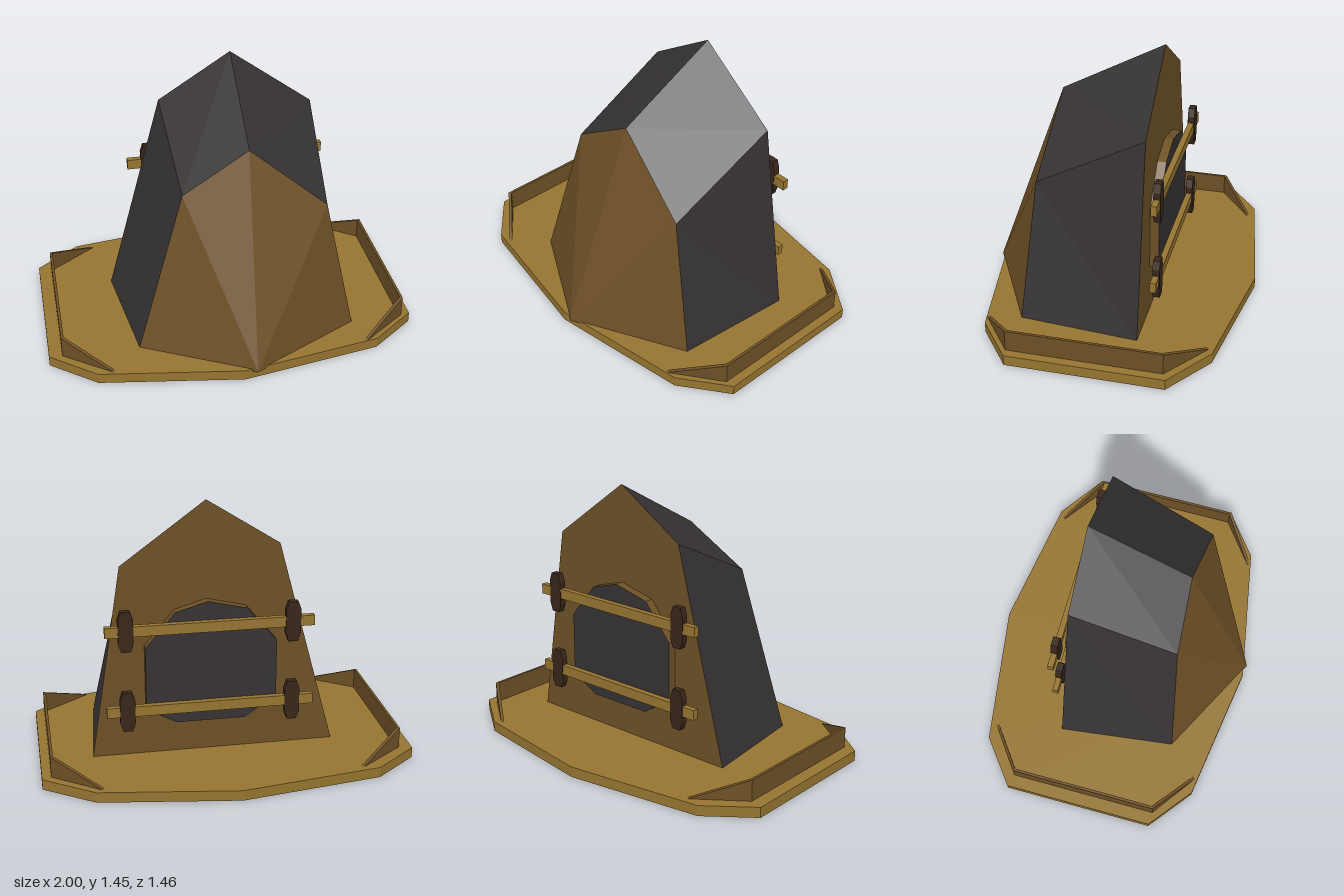
import * as THREE from 'three';

const mat = (color) => new THREE.MeshStandardMaterial({ color, flatShading: true, side: THREE.DoubleSide });
const brass = mat(0x957430);
const bronze = mat(0x6d5026);
const slate = mat(0x363233);
const darkWood = mat(0x38261a);

// Flat-shaded geometry from polygons, each a convex loop of [x, y, z] corners
function facets(polygons) {
  const pos = [];
  for (const p of polygons)
    for (let i = 1; i < p.length - 1; i++) pos.push(...p[0], ...p[i], ...p[i + 1]);
  const g = new THREE.BufferGeometry();
  g.setAttribute('position', new THREE.Float32BufferAttribute(pos, 3));
  g.computeVertexNormals();
  return g;
}

function slab(points, depth) {
  const shape = new THREE.Shape(points.map(([x, y]) => new THREE.Vector2(x, y)));
  return new THREE.ExtrudeGeometry(shape, { depth, bevelEnabled: false });
}

export function createModel() {
  const model = new THREE.Group();
  const add = (name, geometry, material, x = 0, y = 0, z = 0) => {
    const mesh = new THREE.Mesh(geometry, material);
    mesh.name = name;
    mesh.position.set(x, y, z);
    model.add(mesh);
  };

  // Base plate: a top with a skirt around it, open underneath
  const outline = [[0, 0.718], [0.755, 0.59], [1, 0.405], [1, -0.43], [0.735, -0.617],
    [0, -0.73], [-0.76, -0.617], [-1, -0.43], [-1, 0.405], [-0.76, 0.598]];
  const at = (y) => ([x, z]) => [x, y, z];
  const plateTop = outline.map(at(0.057));
  const plateRim = outline.map(at(0));
  const skirt = outline.map((_, i) => {
    const j = (i + 1) % outline.length;
    return [plateRim[i], plateRim[j], plateTop[j], plateTop[i]];
  });
  add('basePlate', facets([plateTop, ...skirt]), brass);

  // Hollow tapering hood: rings run from the right foot over the peak to the left foot
  const floor = 0.045;
  const back = [[-0.6, floor], [-0.29, 1.2], [0.1, 1.45], [0.55, 1.12], [0.72, floor]]
    .map(([x, y]) => [x, y, -0.222]);
  const front = [[-0.52, floor, 0.418], [-0.26, 0.935, 0.348], [0.09, 1.15, 0.327],
    [0.505, 0.8, 0.36], [0.665, floor, 0.418]];
  const nose = [0.065, floor, 0.728];
  const sides = [], prow = [];
  for (let i = 0; i < 4; i++) {
    sides.push([front[i], front[i + 1], back[i + 1], back[i]]);
    prow.push([nose, front[i + 1], front[i]]);
  }
  add('hoodSides', facets(sides), slate);
  add('hoodFront', facets(prow), bronze);
  add('hoodBack', facets([back]), bronze);

  // Raised hatch on the back, dark face with bronze edges
  const hatch = [[0.43, 0.68], [0.27, 0.87], [0.1, 0.92], [-0.11, 0.87], [-0.27, 0.68],
    [-0.27, 0.36], [-0.1, 0.245], [0.27, 0.245], [0.43, 0.33]];
  add('hatch', slab(hatch, 0.048), [slate, bronze], 0, 0, -0.27);

  // Crossbars with chamfered clamps
  const w = 0.04, h = 0.11, cx = 0.015, cy = 0.045;
  const clamp = [[w, h - cy], [w - cx, h], [cx - w, h], [-w, h - cy],
    [-w, cy - h], [cx - w, -h], [w - cx, -h], [w, cy - h]];
  for (const y of [0.34, 0.79]) {
    add('crossbar', new THREE.BoxGeometry(1.107, 0.056, 0.032), brass, 0.088, y, -0.286);
    for (const x of [-0.35, 0.533]) add('clamp', slab(clamp, 0.037), darkWood, x, y, -0.305);
  }

  // Thin side rails whose ends turn inward and slope down to the plate
  for (const side of [-1, 1]) {
    const x0 = side < 0 ? 0.93 : 0.952;
    const sections = [[x0 - 0.25, 0.595, 0.057], [x0, 0.41, 0.172],
      [x0, -0.41, 0.172], [x0 - 0.25, -0.595, 0.057]].map(([x, z, top]) => {
      const inX = x - 0.015, inZ = z - Math.sign(z) * 0.01;
      return [[side * x, 0.05, z], [side * x, top, z],
        [side * inX, top, inZ], [side * inX, 0.05, inZ]];
    });
    const walls = [];
    for (let i = 0; i < 3; i++)
      for (let j = 0; j < 4; j++) {
        const k = (j + 1) % 4;
        walls.push([sections[i][j], sections[i][k], sections[i + 1][k], sections[i + 1][j]]);
      }
    add(side < 0 ? 'rightRail' : 'leftRail', facets(walls), bronze);
  }

  return model;
}
